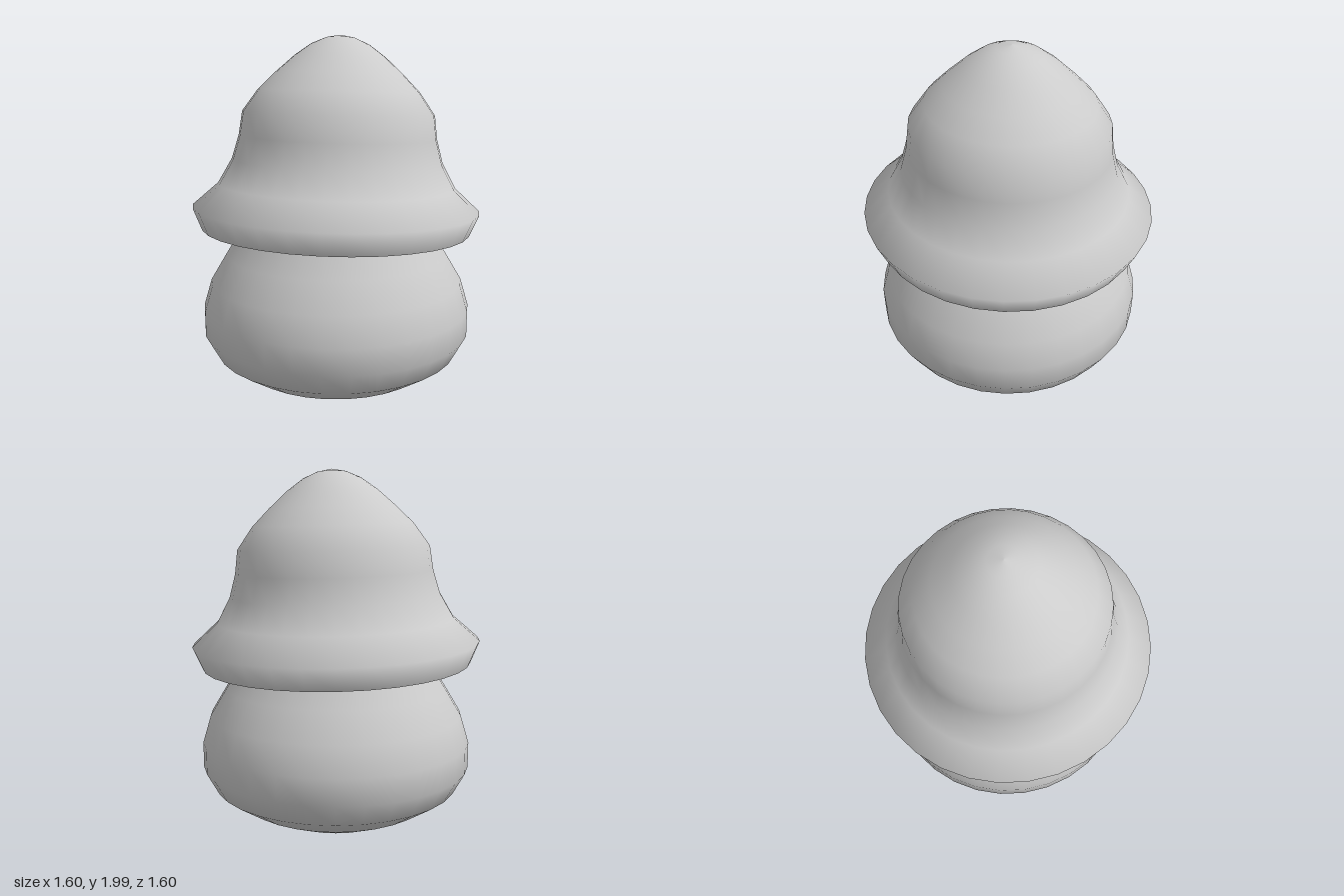
import * as THREE from 'three';

const SIDES = 32;

// Smooth turned part from [radius, height] pairs, listed bottom to top
function turned(name, profile) {
  const points = profile.map(([r, y]) => new THREE.Vector2(r, y));
  const material = new THREE.MeshStandardMaterial({ color: 0xcccccc, side: THREE.DoubleSide });
  const mesh = new THREE.Mesh(new THREE.LatheGeometry(points, SIDES), material);
  mesh.name = name;
  return mesh;
}

export function createModel() {
  const model = new THREE.Group();
  model.name = 'mushroom';

  // Bulbous stem, narrowing up into the cap
  const stem = turned('stem', [
    [0, 0.005], [0.17, 0.022], [0.38, 0.065], [0.54, 0.14], [0.69, 0.24],
    [0.755, 0.36], [0.755, 0.5], [0.71, 0.65], [0.62, 0.80], [0.52, 0.96],
    [0.44, 1.12], [0.36, 1.24], [0.2, 1.32], [0, 1.34],
  ]);

  // Hollow bell-shaped cap, open below and tipped slightly backwards
  const cap = turned('cap', [
    [0.75, -0.12], [0.8, 0], [0.66, 0.125], [0.585, 0.26], [0.548, 0.39],
    [0.53, 0.52], [0.445, 0.64], [0.35, 0.735], [0.25, 0.825],
    [0.16, 0.89], [0.08, 0.925], [0, 0.94],
  ]);
  cap.position.y = 1.06;
  cap.rotation.x = -0.034;

  model.add(stem, cap);
  return model;
}
